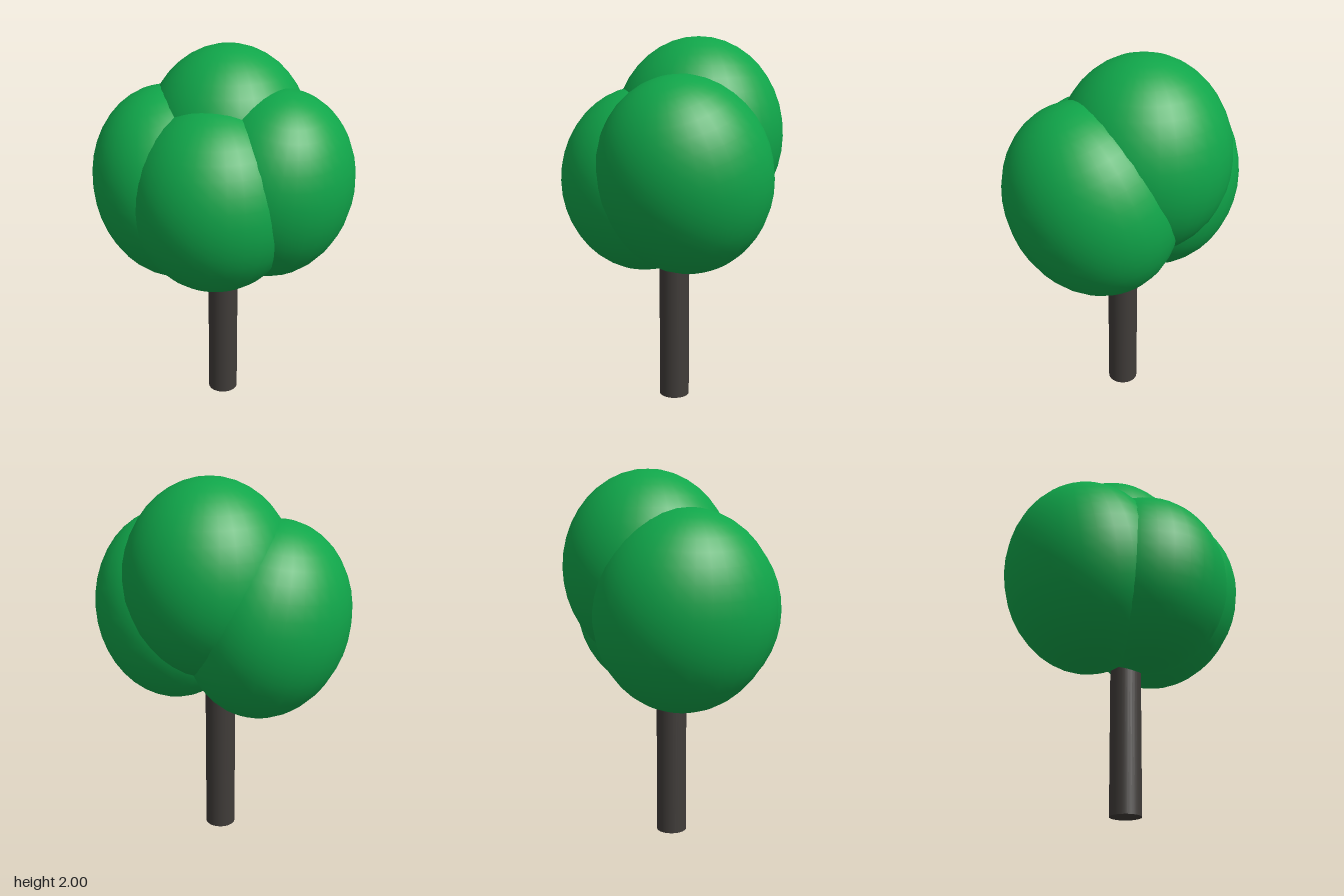
import * as THREE from 'three';

export function createModel() {
  const tree = new THREE.Group();
  tree.name = 'tree';
  const leaf = new THREE.MeshStandardMaterial({ color: 0x10a64a });
  const bark = new THREE.MeshStandardMaterial({ color: 0x403c39 });

  // Trunk, running up into the crown
  const trunk = new THREE.Mesh(new THREE.CylinderGeometry(0.083, 0.083, 1.2, 32), bark);
  trunk.name = 'trunk';
  trunk.position.set(0.003, 0.6, -0.012);
  tree.add(trunk);

  // Crown: four overlapping egg-shaped clumps, the side ones leaning outward
  const ball = new THREE.SphereGeometry(1, 32, 20);
  const clumps = [
    { name: 'leftFoliage', at: [0.277, 1.295, -0.02], radii: [0.425, 0.521, 0.457], tilt: [0.25, 0, -0.2] },
    { name: 'rightFoliage', at: [-0.275, 1.263, -0.02], radii: [0.43, 0.533, 0.48], tilt: [0, 0, 0.2] },
    { name: 'frontFoliage', at: [0.003, 1.247, 0.15], radii: [0.45, 0.496, 0.45], tilt: [0, 0, 0] },
    { name: 'backFoliage', at: [0, 1.482, -0.142], radii: [0.45, 0.518, 0.458], tilt: [0, 0, 0] },
  ];
  for (const { name, at, radii, tilt } of clumps) {
    const clump = new THREE.Mesh(ball, leaf);
    clump.name = name;
    clump.position.set(...at);
    clump.scale.set(...radii);
    clump.rotation.set(...tilt);
    tree.add(clump);
  }
  return tree;
}
